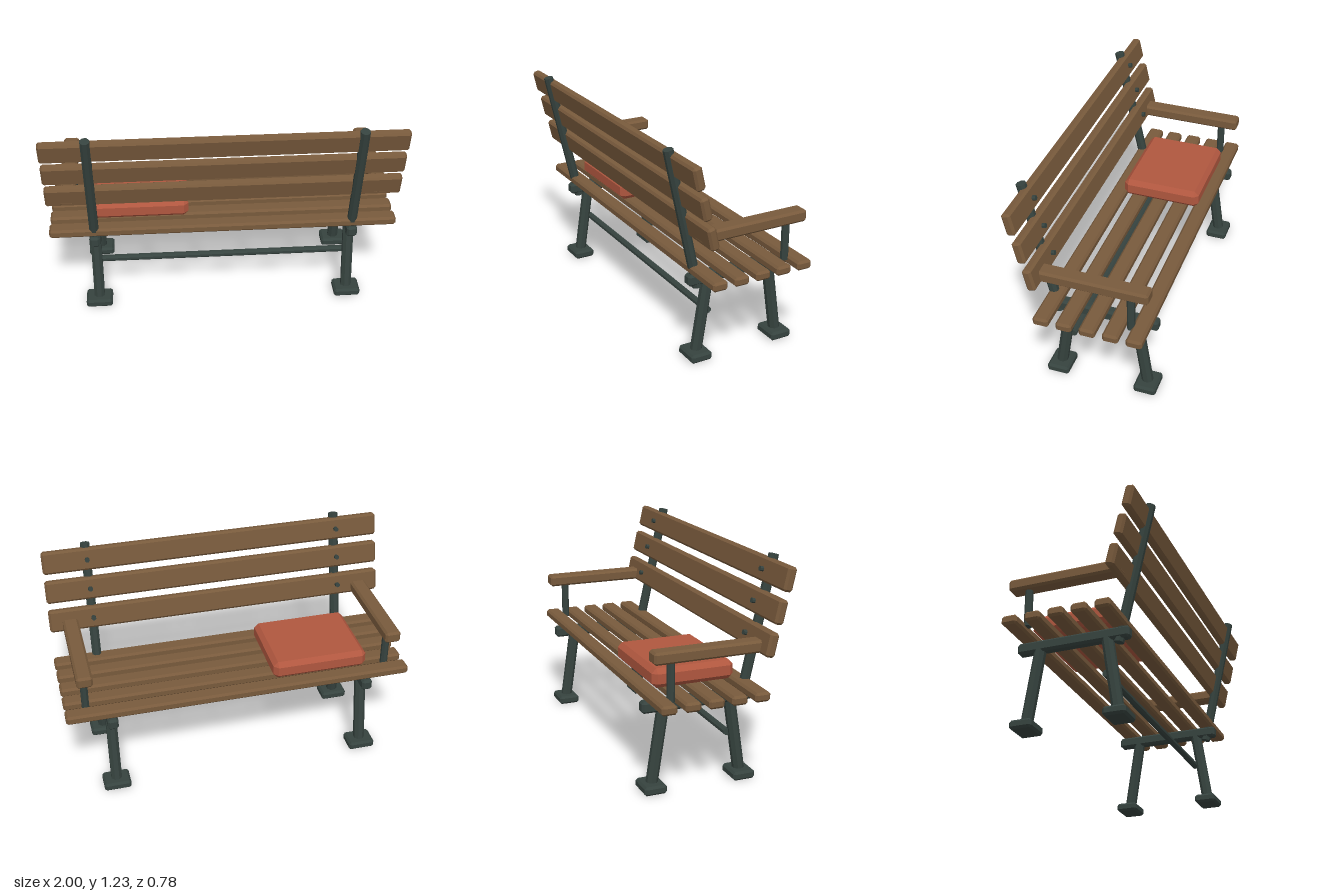
import * as THREE from 'three';
import { ConvexGeometry } from 'three/addons/geometries/ConvexGeometry.js';

const mat = (name, color) => {
  const m = new THREE.MeshStandardMaterial({ color });
  m.name = name;
  return m;
};

// Box with chamfered edges and corners
function chamferBox(w, h, d, c) {
  const pts = [];
  const [x, y, z] = [w / 2, h / 2, d / 2];
  for (const i of [-1, 1]) for (const j of [-1, 1]) for (const k of [-1, 1]) {
    pts.push(
      new THREE.Vector3(i * x, j * (y - c), k * (z - c)),
      new THREE.Vector3(i * (x - c), j * y, k * (z - c)),
      new THREE.Vector3(i * (x - c), j * (y - c), k * z));
  }
  return new ConvexGeometry(pts);
}

// Faceted rod between two points
function rod(a, b, r, sides = 8) {
  const from = new THREE.Vector3(...a), to = new THREE.Vector3(...b);
  const dir = to.clone().sub(from);
  const g = new THREE.CylinderGeometry(r, r, dir.length(), sides).toNonIndexed();
  g.rotateY(Math.PI / sides);
  g.computeVertexNormals();
  g.applyQuaternion(new THREE.Quaternion().setFromUnitVectors(
    new THREE.Vector3(0, 1, 0), dir.normalize()));
  const mid = from.add(to).multiplyScalar(0.5);
  return g.translate(mid.x, mid.y, mid.z);
}

export function createModel() {
  const bench = new THREE.Group();
  bench.name = 'bench';
  const wood = mat('brown wood', 0x785a3c);
  const iron = mat('dark green iron', 0x36433f);
  const fabric = mat('red fabric', 0xb0573f);

  const add = (name, geometry, material, x = 0, y = 0, z = 0) => {
    const mesh = new THREE.Mesh(geometry, material);
    mesh.name = name;
    mesh.position.set(x, y, z);
    bench.add(mesh);
    return mesh;
  };

  // Seat slats
  for (let i = 0; i < 5; i++) {
    add('seatSlat', chamferBox(2, 0.052, 0.088, 0.012), wood, 0, 0.534, 0.193 - i * 0.13);
  }

  // Leaning back slats
  const lean = Math.atan(0.225);
  const backSlats = [[1.142, 0.328], [0.975, 0.284], [0.806, 0.24]];
  for (const [y, z] of backSlats) {
    add('backSlat', chamferBox(2, 0.13, 0.052, 0.012), wood, 0, y, z).rotation.x = lean;
  }

  for (const s of [-1, 1]) {
    const x = s * 0.745;

    // Side frame: seat rail, splayed legs, feet and back post
    add('seatRail', chamferBox(0.06, 0.065, 0.637, 0.012), iron, x, 0.476, -0.069);
    for (const [top, foot] of [[0.122, 0.188], [-0.262, -0.327]]) {
      add('leg', rod([x, 0.03, foot], [x, 0.46, top], 0.033), iron);
      add('foot', chamferBox(0.155, 0.05, 0.127, 0.012), iron, x, 0.025, foot);
    }
    add('backPost', rod([x, 0.427, 0.185], [x, 1.224, 0.364], 0.028), iron);

    // Bolts through the back slats
    for (const [y, z] of backSlats) {
      const n = [Math.sin(lean), -Math.cos(lean)];
      add('bolt', rod([x, y, z], [x, y + n[0] * 0.045, z + n[1] * 0.045], 0.014), iron);
    }

    // Armrest and its support
    add('armrest', chamferBox(0.09, 0.067, 0.637, 0.012), wood, s * 0.88, 0.783, -0.061);
    add('armSupport', rod([s * 0.88, 0.537, -0.275], [s * 0.88, 0.77, -0.275], 0.022), iron);
  }

  // Stretcher between the back legs
  add('stretcher', rod([-0.745, 0.264, 0.113], [0.745, 0.264, 0.113], 0.02), iron);

  // Cushion
  add('cushion', chamferBox(0.555, 0.106, 0.465, 0.026), fabric, -0.477, 0.617, -0.085);

  return bench;
}
